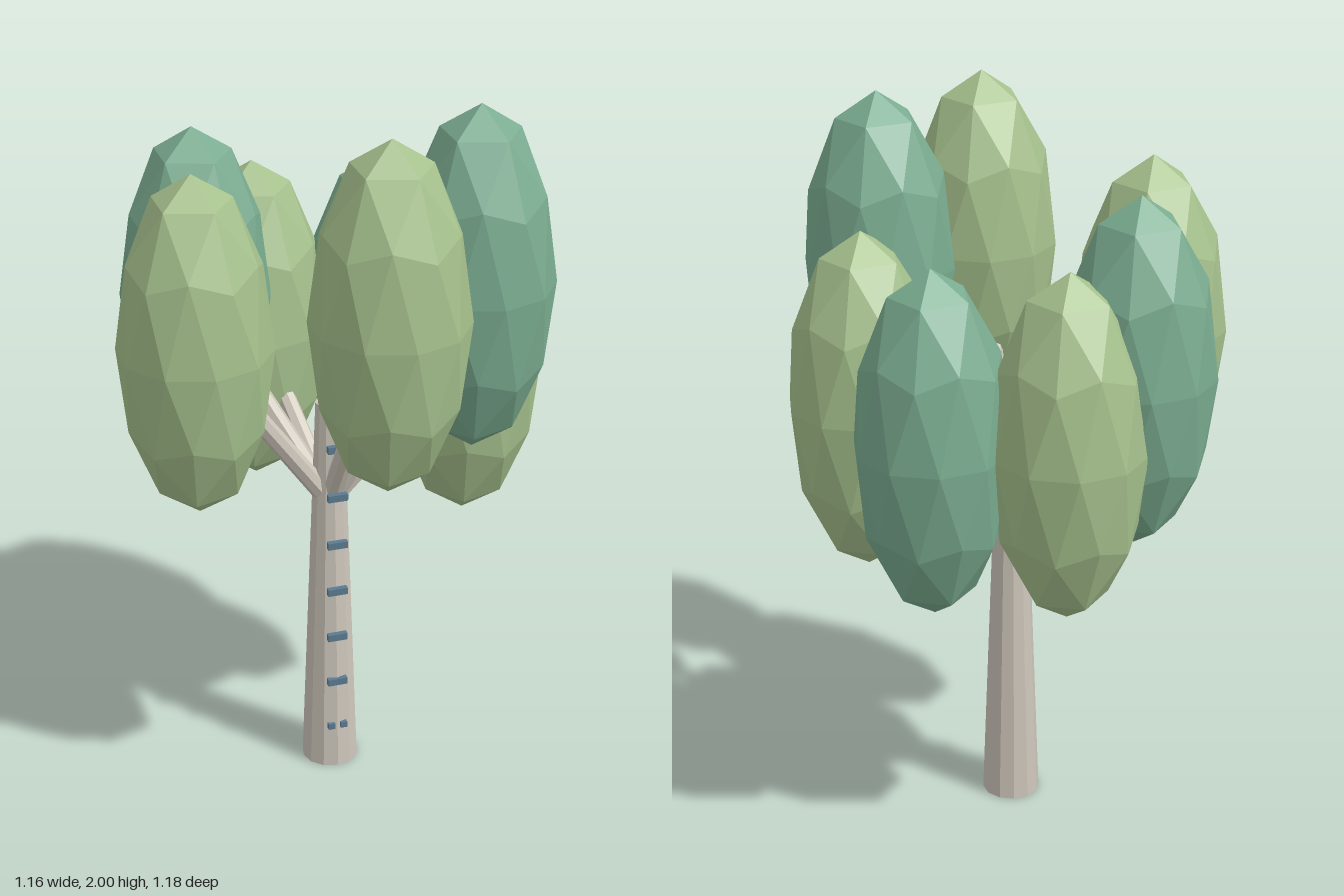
import * as THREE from 'three';

const material = (name, color) => new THREE.MeshStandardMaterial({ name, color, flatShading: true });

export function createModel() {
  const bark = material('pale bark', 0xcdc6ba);
  const lightLeaf = material('light green leaves', 0xa6c18d);
  const darkLeaf = material('dark green leaves', 0x7bad91);
  const mark = material('blue grey marks', 0x5b7b91);

  const model = new THREE.Group();
  model.name = 'tree';
  const add = (parent, name, geometry, mat, x, y, z) => {
    const mesh = new THREE.Mesh(geometry, mat);
    mesh.name = name;
    mesh.position.set(x, y, z);
    parent.add(mesh);
    return mesh;
  };
  const group = (name) => {
    const g = new THREE.Group();
    g.name = name;
    model.add(g);
    return g;
  };

  // Tapered trunk
  const cx = -0.004, cz = -0.005, trunkHeight = 1.13;
  add(model, 'trunk', new THREE.CylinderGeometry(0.039, 0.08, trunkHeight, 12), bark, cx, trunkHeight / 2, cz);

  // Marks up the front of the trunk: a pair of dots, then bars
  const marks = group('trunkMarks');
  for (const x of [-0.022, 0.014]) {
    add(marks, 'dot', new THREE.BoxGeometry(0.019, 0.018, 0.016), mark, x, 0.135, 0.067);
  }
  for (let i = 1; i <= 6; i++) {
    add(marks, 'bar', new THREE.BoxGeometry(0.056, 0.02, 0.016), mark, cx, 0.135 + i * 0.1475, 0.066);
  }

  // Leaf clump: faceted ball with a vertex at the top, stretched upward
  const leafGeometry = new THREE.IcosahedronGeometry(1, 1);
  leafGeometry.rotateZ(-Math.atan(2 / (1 + Math.sqrt(5))));
  leafGeometry.scale(0.206, 0.475, 0.206);

  // Each clump: centre x, y, z and leaf colour
  const clumps = [
    [0.03, 1.525, 0.382, lightLeaf],
    [0.325, 1.525, 0.205, darkLeaf],
    [0.386, 1.217, -0.01, lightLeaf],
    [0.233, 1.217, -0.32, darkLeaf],
    [-0.105, 1.217, -0.385, lightLeaf],
    [-0.297, 1.37, -0.275, darkLeaf],
    [-0.387, 1.37, 0.065, lightLeaf],
  ];
  const foliage = group('foliage');
  const branches = group('branches');
  const base = new THREE.Vector3(cx, 0.83, cz);
  const up = new THREE.Vector3(0, 1, 0);
  for (const [x, y, z, leaf] of clumps) {
    add(foliage, 'leafClump', leafGeometry, leaf, x, y, z);

    // Branch from the trunk into the clump
    const tip = base.clone().lerp(new THREE.Vector3(x, y, z), 0.85);
    const along = tip.clone().sub(base);
    const mid = base.clone().add(tip).multiplyScalar(0.5);
    const branch = add(branches, 'branch', new THREE.CylinderGeometry(0.025, 0.029, along.length(), 8),
      bark, mid.x, mid.y, mid.z);
    branch.quaternion.setFromUnitVectors(up, along.normalize());
  }
  return model;
}
